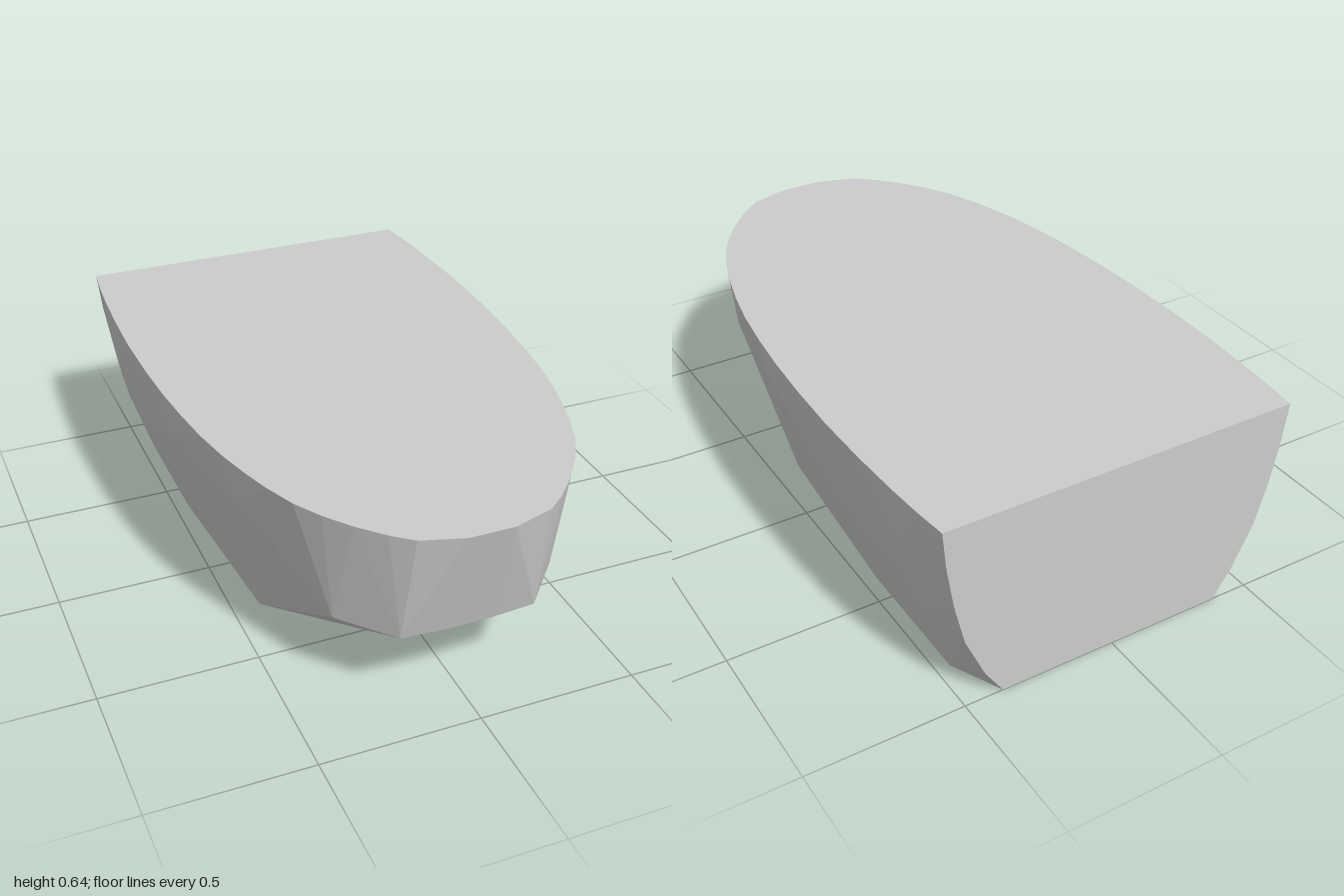
import * as THREE from 'three';
import { ConvexGeometry } from 'three/addons/geometries/ConvexGeometry.js';

export function createModel() {
  const group = new THREE.Group();
  const material = new THREE.MeshStandardMaterial({ color: 0xcccccc, flatShading: true });
  const points = [];

  // Adds [x, z] pairs at one height, mirrored to both sides
  const level = (y, pairs) => {
    for (const [x, z] of pairs) {
      for (const s of [1, -1]) points.push(new THREE.Vector3(s * x, y, z));
    }
  };

  // Flat bottom, pinched in at the transom
  level(0, [[0.41, 0.25], [0.455, -0.4], [0.455, -0.84], [0.375, -1]]);

  // Rounded bilge
  level(0.09, [[0.489, -0.4], [0.484, -0.82], [0.435, -1]]);
  level(0.24, [[0.538, -0.4], [0.533, -0.82], [0.503, -1]]);
  level(0.38, [[0.574, -0.4], [0.565, -0.8], [0.538, -1]]);
  level(0.52, [[0.515, 0.42], [0.58, 0], [0.597, -0.4], [0.584, -0.8], [0.562, -1]]);

  // Chine where the bow meets the sloping forefoot
  level(0.272, [[0.07, 0.9], [0.21, 0.89], [0.35, 0.73]]);

  // Rim of the flat deck
  level(0.645, [
    [0.07, 1], [0.2, 0.96], [0.26, 0.91], [0.33, 0.835], [0.39, 0.755], [0.44, 0.67],
    [0.48, 0.57], [0.51, 0.475], [0.54, 0.36], [0.565, 0.23], [0.583, 0.09], [0.597, -0.06],
    [0.606, -0.23], [0.61, -0.42], [0.606, -0.6], [0.597, -0.78], [0.587, -0.9], [0.575, -1],
  ]);

  const hull = new THREE.Mesh(new ConvexGeometry(points), material);
  hull.name = 'hull';
  group.add(hull);
  return group;
}
